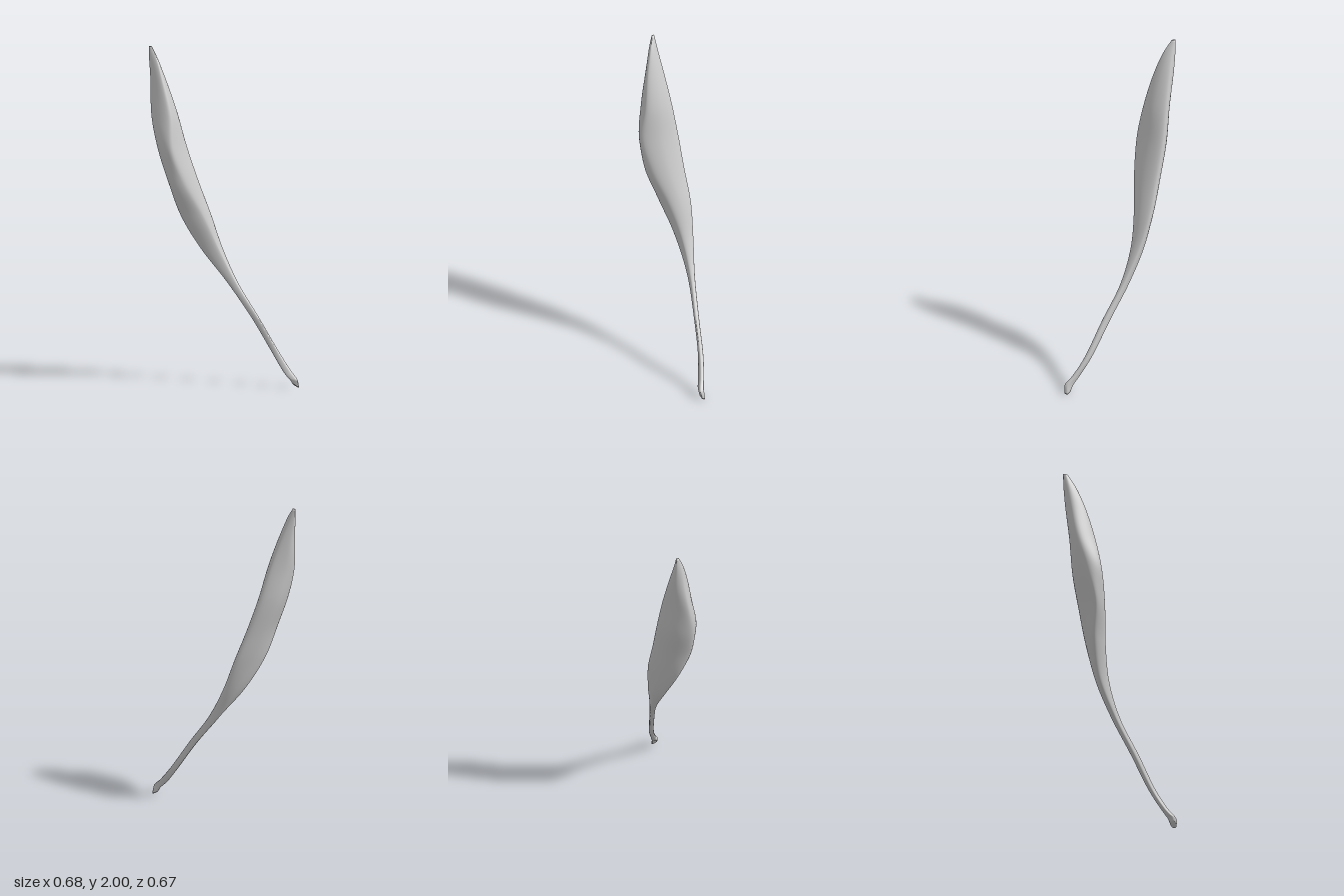
import * as THREE from 'three';

// Cross-sections from the top tip to the lower end:
// height, then x,z of the back-right edge, front ridge, left edge and back belly
const SECTIONS = [
  [2.00, -0.301, -0.329, -0.307, -0.312, -0.317, -0.322, -0.312, -0.337],
  [1.93, -0.279, -0.320, -0.297, -0.266, -0.323, -0.306, -0.308, -0.335],
  [1.80, -0.232, -0.302, -0.289, -0.209, -0.328, -0.285, -0.290, -0.324],
  [1.60, -0.167, -0.280, -0.275, -0.148, -0.341, -0.252, -0.268, -0.297],
  [1.40, -0.112, -0.257, -0.284, -0.110, -0.326, -0.195, -0.230, -0.278],
  [1.20, -0.055, -0.221, -0.208, -0.090, -0.279, -0.146, -0.165, -0.241],
  [1.00, 0.008, -0.180, -0.090, -0.086, -0.196, -0.153, -0.097, -0.202],
  [0.80, 0.055, -0.115, 0.005, -0.065, -0.078, -0.126, -0.010, -0.147],
  [0.60, 0.110, -0.020, 0.090, -0.001, 0.051, -0.035, 0.070, -0.056],
  [0.40, 0.190, 0.093, 0.176, 0.110, 0.150, 0.079, 0.164, 0.061],
  [0.20, 0.270, 0.198, 0.256, 0.215, 0.230, 0.187, 0.244, 0.170],
  [0.10, 0.307, 0.271, 0.293, 0.286, 0.263, 0.256, 0.278, 0.238],
  [0.05, 0.327, 0.314, 0.312, 0.331, 0.282, 0.299, 0.301, 0.276],
  [0.00, 0.337, 0.314, 0.327, 0.334, 0.298, 0.317, 0.312, 0.295],
];

// Smooth skin lofted around four long edge curves
function bellyGeometry(rows = 104, sides = 40) {
  const rails = [0, 1, 2, 3].map((k) => new THREE.CatmullRomCurve3(
    SECTIONS.map((s) => new THREE.Vector3(s[1 + 2 * k], s[0], s[2 + 2 * k]))));
  const pos = [], index = [];

  for (let i = 0; i <= rows; i++) {
    const [a, b, c, m] = rails.map((r) => r.getPoint(i / rows));
    // the front face swells gently between its two edges
    const face = a.clone().lerp(b, 0.5);
    face.x += 0.17 * (b.z - a.z);
    face.z -= 0.17 * (b.x - a.x);
    const ring = new THREE.CatmullRomCurve3([a, face, b, c, m], true);
    for (let j = 0; j < sides; j++) {
      const p = ring.getPoint(j / sides);
      // slant the lower end up towards its left side
      const slant = 0.7 * Math.max(0, 0.337 - p.x) * Math.max(0, 1 - p.y / 0.06);
      pos.push(p.x, p.y + slant, p.z);
    }
  }

  const at = (i, j) => i * sides + (j % sides);
  for (let i = 0; i < rows; i++) {
    for (let j = 0; j < sides; j++) {
      const a = at(i, j), b = at(i, j + 1), c = at(i + 1, j), d = at(i + 1, j + 1);
      index.push(a, b, c, b, d, c);
    }
  }

  // close both ends
  for (const i of [0, rows]) {
    const centre = new THREE.Vector3();
    for (let j = 0; j < sides; j++) centre.add(new THREE.Vector3().fromArray(pos, at(i, j) * 3));
    centre.divideScalar(sides);
    const n = pos.length / 3;
    pos.push(centre.x, centre.y, centre.z);
    for (let j = 0; j < sides; j++) {
      if (i === 0) index.push(n, at(i, j + 1), at(i, j));
      else index.push(n, at(i, j), at(i, j + 1));
    }
  }

  const geo = new THREE.BufferGeometry();
  geo.setAttribute('position', new THREE.Float32BufferAttribute(pos, 3));
  geo.setIndex(index);
  geo.computeVertexNormals();
  return geo;
}

export function createModel() {
  const group = new THREE.Group();
  group.name = 'muscle';
  const mesh = new THREE.Mesh(bellyGeometry(), new THREE.MeshStandardMaterial({ color: 0xcccccc }));
  mesh.name = 'muscleBellyAndTendon';
  group.add(mesh);
  return group;
}
